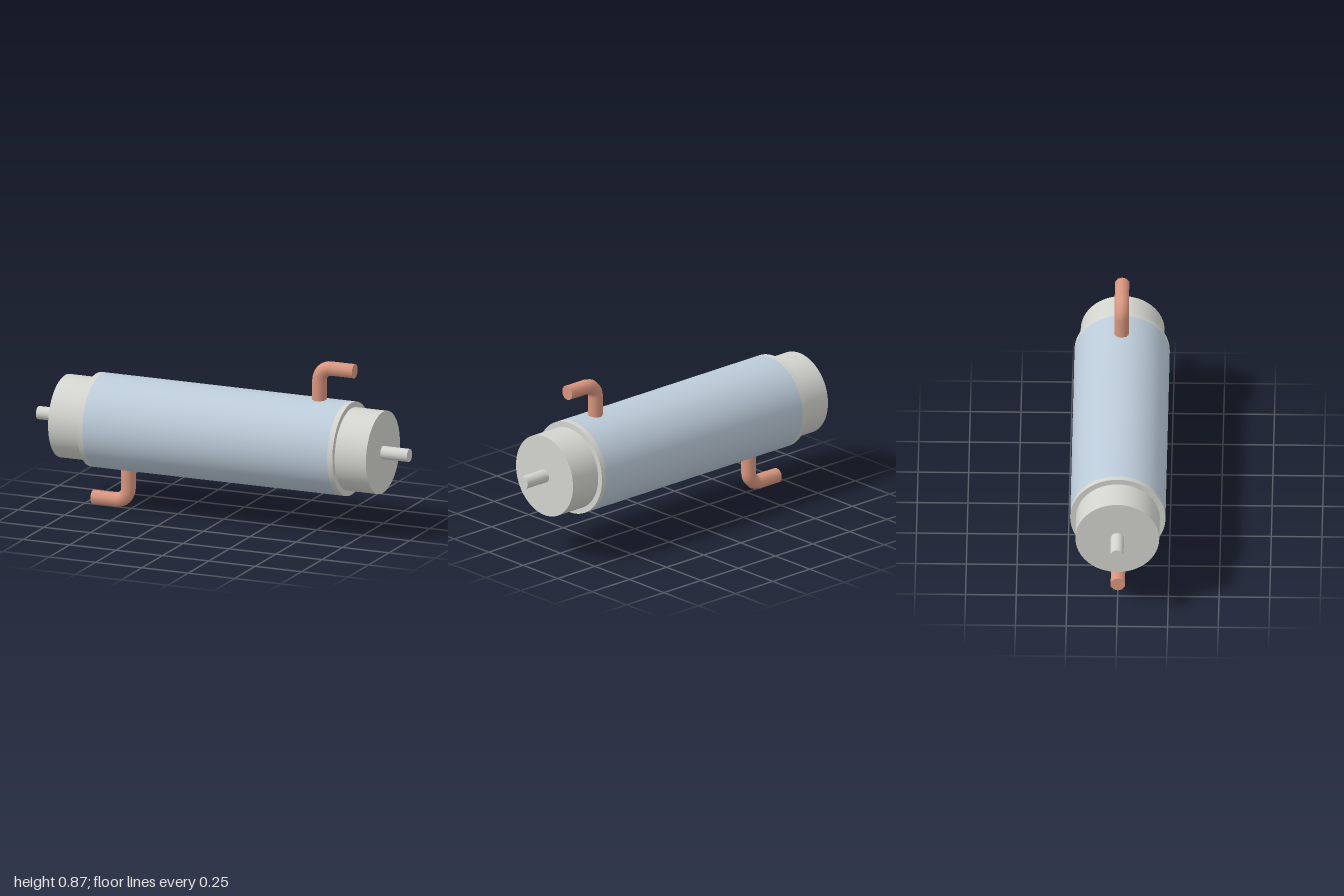
import * as THREE from 'three';

const AXIS_Y = 0.435;

export function createModel() {
  const model = new THREE.Group();
  const make = (name, color) => {
    const m = new THREE.MeshStandardMaterial({ color });
    m.name = name;
    return m;
  };
  const steel = make('lightGrey', 0xd3d4ce);
  const blue = make('paleBlue', 0xbccbd9);
  const copper = make('copper', 0xd9967f);

  // Cylinder lying along x between x0 and x1
  const barrel = (name, radius, x0, x1, material, sides = 64, open = false) => {
    const geometry = new THREE.CylinderGeometry(radius, radius, x1 - x0, sides, 1, open);
    geometry.rotateZ(-Math.PI / 2);
    const mesh = new THREE.Mesh(geometry, material);
    mesh.name = name;
    mesh.position.set((x0 + x1) / 2, AXIS_Y, 0);
    model.add(mesh);
  };

  // Main shell, with a grey collar, end cap and shaft at each end
  barrel('shell', 0.235, -0.66, 0.66, blue, 64, true);
  for (const [side, s] of [['left', 1], ['right', -1]]) {
    const part = (name, radius, a, b, sides) =>
      barrel(side + name, radius, Math.min(s * a, s * b), Math.max(s * a, s * b), steel, sides);
    part('Collar', 0.235, 0.66, 0.688);
    part('EndCap', 0.207, 0.68, 0.857);
    part('Shaft', 0.033, 0.85, 1, 32);
  }

  // Elbow pipe: rises from the shell, then turns outward (drawn in yz, turned to xy)
  const rise = 0.398, reach = 0.19, bend = 0.065, radius = 0.037;
  const v = (y, z) => new THREE.Vector3(0, y, z);
  const k = bend * 0.448;
  const path = new THREE.CurvePath();
  path.add(new THREE.LineCurve3(v(0.2, 0), v(rise - bend, 0)));
  path.add(new THREE.CubicBezierCurve3(v(rise - bend, 0), v(rise - k, 0), v(rise, k), v(rise, bend)));
  path.add(new THREE.LineCurve3(v(rise, bend), v(rise, reach)));
  const pipeGeometry = new THREE.TubeGeometry(path, 48, radius, 10);
  const capGeometry = new THREE.CircleGeometry(radius, 10, Math.PI / 2);
  capGeometry.translate(0, rise, reach);

  for (const [name, turn] of [['upperPipe', 0], ['lowerPipe', Math.PI]]) {
    const elbow = new THREE.Group();
    const tube = new THREE.Mesh(pipeGeometry, copper);
    tube.name = 'pipeTube';
    const cap = new THREE.Mesh(capGeometry, copper);
    cap.name = 'pipeEnd';
    elbow.add(tube, cap);
    elbow.rotation.y = Math.PI / 2;
    elbow.position.x = 0.515;

    // Half a turn about the shell's centre gives the lower pipe
    const pipe = new THREE.Group();
    pipe.name = name;
    pipe.add(elbow);
    pipe.position.y = AXIS_Y;
    pipe.rotation.z = turn;
    model.add(pipe);
  }
  return model;
}
